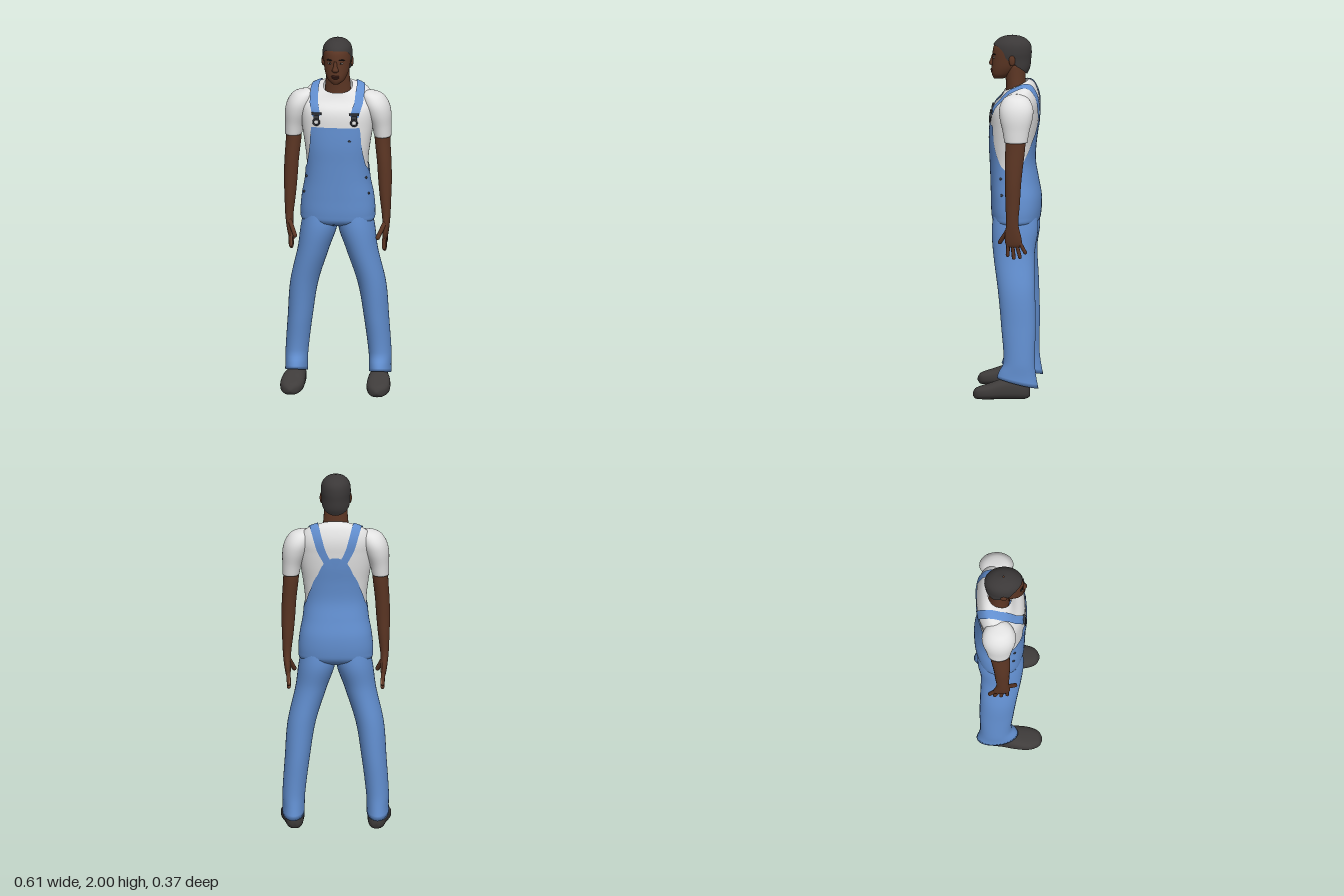
import * as THREE from 'three';

const mat = (name, color, side = THREE.FrontSide) => {
  const m = new THREE.MeshStandardMaterial({ color, side });
  m.name = name;
  return m;
};

// Smooth interpolation through rows of [key, ...values], keys ascending
function sample(rows, k) {
  let i = 0;
  while (i < rows.length - 2 && k > rows[i + 1][0]) i++;
  const a = rows[i], b = rows[i + 1], h = b[0] - a[0];
  const t = THREE.MathUtils.clamp((k - a[0]) / h, 0, 1);
  const p = rows[i - 1] ?? a, q = rows[i + 2] ?? b;
  return a.slice(1).map((_, j) => {
    const c = j + 1, ma = (b[c] - p[c]) / (b[0] - p[0]) * h, mb = (q[c] - a[c]) / (q[0] - a[0]) * h;
    const d = b[c] - a[c];
    return a[c] + t * (ma + t * (3 * d - 2 * ma - mb + t * (ma + mb - 2 * d)));
  });
}

// Straight interpolation, used for cut lines and paths
function linear(points, k) {
  let i = 0;
  while (i < points.length - 2 && k > points[i + 1][0]) i++;
  const [a, b] = [points[i], points[i + 1]];
  return THREE.MathUtils.mapLinear(THREE.MathUtils.clamp(k, a[0], b[0]), a[0], b[0], a[1], b[1]);
}

// Point on a lofted surface; rows are [y, centreX, centreZ, radiusX, radiusZ]
function surfacePoint(rows, y, angle, off = 0, p = 1, warp) {
  const [cx, cz, rx, rz] = sample(rows, y);
  const pw = (a) => Math.sign(a) * Math.abs(a) ** p;
  const v = new THREE.Vector3(cx + (Math.max(rx, 0) + off) * pw(Math.sin(angle)), y, cz + (Math.max(rz, 0) + off) * pw(Math.cos(angle)));
  if (warp) warp(v);
  return v;
}

// Closed loft; lo and hi may vary with the cosine of the angle (1 = front, -1 = back)
function loft(rows, { n = 24, m = 32, lo, hi, off = 0, p = 1, warp, caps = true } = {}) {
  const pos = [], idx = [];
  for (let i = 0; i <= m; i++) for (let j = 0; j < n; j++) {
    const a = j / n * Math.PI * 2, c = Math.cos(a);
    const y0 = lo ? lo(c) : rows[0][0], y1 = hi ? hi(c) : rows.at(-1)[0];
    pos.push(...surfacePoint(rows, y0 + (y1 - y0) * i / m, a, off, p, warp));
  }
  for (let i = 0; i < m; i++) for (let j = 0; j < n; j++) {
    const a = i * n + j, b = i * n + (j + 1) % n;
    idx.push(a, b, b + n, a, b + n, a + n);
  }
  if (caps) for (const [row, top] of [[0, false], [m, true]]) {
    const c = new THREE.Vector3(), id = pos.length / 3;
    for (let j = 0; j < n; j++) c.add(new THREE.Vector3().fromArray(pos, (row * n + j) * 3));
    pos.push(...c.divideScalar(n));
    for (let j = 0; j < n; j++) {
      const a = row * n + j, b = row * n + (j + 1) % n;
      idx.push(...(top ? [a, b, id] : [b, a, id]));
    }
  }
  const g = new THREE.BufferGeometry();
  g.setAttribute('position', new THREE.Float32BufferAttribute(pos, 3));
  g.setIndex(idx);
  g.computeVertexNormals();
  return g;
}

const TORSO = [
  [0.935, 0, -0.04, 0.1, 0.06], [0.96, 0, -0.04, 0.185, 0.115], [1.0, 0, -0.042, 0.2, 0.13], [1.1, 0, -0.042, 0.194, 0.134],
  [1.2, 0, -0.032, 0.176, 0.127], [1.3, 0, -0.022, 0.17, 0.121], [1.4, 0, -0.022, 0.181, 0.126], [1.5, 0, -0.03, 0.197, 0.131],
  [1.58, 0, -0.037, 0.205, 0.131], [1.64, 0, -0.05, 0.205, 0.118], [1.69, 0, -0.05, 0.172, 0.092], [1.71, 0, -0.046, 0.13, 0.077],
  [1.725, 0, -0.042, 0.08, 0.066]];
const SLEEVE = [
  [1.44, 0.248, -0.053, 0.047, 0.064], [1.5, 0.241, -0.053, 0.054, 0.074], [1.57, 0.226, -0.053, 0.069, 0.091],
  [1.62, 0.212, -0.053, 0.073, 0.094], [1.66, 0.197, -0.052, 0.066, 0.08], [1.685, 0.183, -0.05, 0.05, 0.055], [1.697, 0.17, -0.05, 0.015, 0.02]];
const ARM = [
  [0.855, 0.263, -0.042, 0.009, 0.036], [0.87, 0.263, -0.042, 0.014, 0.045], [0.91, 0.266, -0.038, 0.018, 0.046],
  [0.96, 0.269, -0.035, 0.021, 0.037], [1.0, 0.269, -0.034, 0.024, 0.034], [1.1, 0.265, -0.036, 0.032, 0.04],
  [1.2, 0.262, -0.038, 0.038, 0.044], [1.3, 0.257, -0.042, 0.04, 0.05], [1.42, 0.247, -0.05, 0.043, 0.055], [1.52, 0.243, -0.05, 0.045, 0.055]];
const LEG = [
  [0.09, 0.233, -0.062, 0.062, 0.115], [0.13, 0.232, -0.062, 0.061, 0.105], [0.2, 0.231, -0.07, 0.063, 0.087],
  [0.4, 0.212, -0.065, 0.069, 0.095], [0.6, 0.188, -0.053, 0.078, 0.103], [0.8, 0.134, -0.036, 0.088, 0.115],
  [0.93, 0.104, -0.04, 0.101, 0.128], [1.05, 0.095, -0.042, 0.085, 0.115]];
// Shoe rows run along z, with height negated
const SHOE = [
  [-0.13, 0.225, -0.045, 0.02, 0.03], [-0.11, 0.226, -0.05, 0.042, 0.048], [-0.03, 0.23, -0.056, 0.055, 0.056],
  [0.03, 0.236, -0.054, 0.063, 0.054], [0.1, 0.24, -0.042, 0.065, 0.042], [0.15, 0.241, -0.034, 0.052, 0.034],
  [0.175, 0.241, -0.03, 0.032, 0.026], [0.185, 0.241, -0.028, 0.01, 0.01]];
const NECK = [[1.64, 0, -0.045, 0.078, 0.06], [1.72, 0, -0.04, 0.071, 0.055], [1.78, 0, -0.036, 0.066, 0.056], [1.84, 0, -0.03, 0.064, 0.058]];
const HEAD = [
  [1.757, 0, 0.055, 0.02, 0.028], [1.775, 0, 0.042, 0.044, 0.05], [1.8, 0, 0.026, 0.058, 0.07], [1.83, 0, 0.01, 0.068, 0.084],
  [1.87, 0, -0.005, 0.074, 0.096], [1.91, 0, -0.016, 0.077, 0.105], [1.94, 0, -0.02, 0.075, 0.102], [1.97, 0, -0.02, 0.06, 0.078], [1.988, 0, -0.02, 0.03, 0.04]];
const HAIR = [
  [1.78, 0, -0.034, 0.07, 0.066], [1.82, 0, -0.03, 0.077, 0.088], [1.87, 0, -0.018, 0.08, 0.106], [1.91, 0, -0.018, 0.083, 0.109],
  [1.95, 0, -0.019, 0.078, 0.102], [1.975, 0, -0.02, 0.063, 0.081], [1.992, 0, -0.02, 0.038, 0.048], [2.0, 0, -0.02, 0.004, 0.004]];
const NOSE = [[1.828, 0, 0.088, 0.012, 0.008], [1.838, 0, 0.09, 0.02, 0.02], [1.855, 0, 0.087, 0.013, 0.018], [1.89, 0, 0.083, 0.008, 0.01]];

const BIB_EDGE = [[-1, 1.56], [-0.97, 1.53], [-0.9, 1.46], [-0.7, 1.37], [-0.4, 1.29], [0, 1.24], [0.4, 1.29], [0.6, 1.36], [0.72, 1.43], [0.78, 1.513], [1, 1.515]];
const HAIR_LINE = [[-1, 1.785], [-0.3, 1.83], [0.05, 1.865], [0.25, 1.87], [0.4, 1.915], [0.7, 1.942], [1, 1.948]];
const STRAP_X = [[30, 0.105], [60, 0.125], [90, 0.128], [110, 0.118], [140, 0.082], [160, 0.052], [182, 0.024]];

export function createModel() {
  const model = new THREE.Group();
  const skin = mat('skin', 0x5c3624), palmSkin = mat('palm skin', 0x8a5c44), lipSkin = mat('lips', 0x4a2820);
  const shirt = mat('white shirt', 0xe2e2e2, THREE.DoubleSide), denim = mat('blue denim', 0x628fd0, THREE.DoubleSide);
  const dark = mat('dark leather', 0x3f3c3b), hair = mat('hair', 0x3b3838, THREE.DoubleSide);
  const metal = mat('buckle metal', 0x3a3d44), white = mat('eye white', 0xb8b0a8), black = mat('pupil and brow', 0x1c1614);
  const add = (name, geo, material, x = 0, y = 0, z = 0) => {
    const m = new THREE.Mesh(geo, material);
    m.name = name;
    m.position.set(x, y, z);
    model.add(m);
    return m;
  };
  const blob = (name, material, x, y, z, rx, ry, rz) => add(name, new THREE.SphereGeometry(1, 16, 12).scale(rx, ry, rz), material, x, y, z);
  const rod = (name, material, a, b, r) => {
    const d = b.clone().sub(a), m = add(name, new THREE.CapsuleGeometry(r, d.length(), 4, 8), material);
    m.position.copy(a).addScaledVector(d, 0.5);
    m.quaternion.setFromUnitVectors(new THREE.Vector3(0, 1, 0), d.normalize());
  };

  // Clothed torso; the collar tips down towards the front
  const tilt = (v) => { v.y -= 0.45 * (v.z + 0.045) * THREE.MathUtils.smoothstep(v.y, 1.6, 1.72); };
  const body = { n: 96, m: 48, p: 0.85, warp: tilt, caps: false };
  const torso = add('shirt', loft(TORSO, { ...body, lo: () => 1.15 }), shirt);
  add('overalls', loft(TORSO, { ...body, off: 0.006, hi: (c) => linear(BIB_EDGE, c) }), denim);
  add('crotch', loft(TORSO.slice(0, 3), { n: 48, m: 6, p: 0.85 }), denim);

  // Find the shirt surface by casting inward
  const ray = new THREE.Raycaster();
  torso.updateMatrixWorld();
  const hit = (x, deg, lift) => {
    const a = THREE.MathUtils.degToRad(deg), out = new THREE.Vector3(0, Math.sin(a), Math.cos(a));
    const pivot = new THREE.Vector3(x, 1.5, -0.04);
    ray.set(pivot.clone().addScaledVector(out, 0.6), out.clone().negate());
    return (ray.intersectObject(torso)[0]?.point ?? pivot).clone().addScaledVector(out, lift);
  };

  // Head
  add('neck', loft(NECK, { m: 12 }), skin);
  add('head', loft(HEAD, { n: 32 }), skin);
  add('nose', loft(NOSE, { n: 12, m: 10 }), skin);
  add('hair', loft(HAIR, { n: 64, m: 24, lo: (c) => linear(HAIR_LINE, c) }).toNonIndexed(), hair);
  model.children.at(-1).geometry = loft(HAIR, { n: 64, m: 24, lo: (c) => linear(HAIR_LINE, c), caps: false });
  blob('upper lip', lipSkin, 0, 1.806, 0.092, 0.025, 0.006, 0.009);
  blob('lower lip', lipSkin, 0, 1.796, 0.091, 0.022, 0.006, 0.009);

  for (const s of [1, -1]) {
    const mirror = (rows) => rows.map(([k, x, ...r]) => [k, x * s, ...r]);
    const at = (x, y, z) => new THREE.Vector3(x * s, y, z);

    // Face details
    blob('ear', skin, s * 0.08, 1.868, -0.022, 0.009, 0.03, 0.018);
    blob('eye', white, s * 0.03, 1.878, 0.08, 0.013, 0.005, 0.006);
    blob('pupil', black, s * 0.03, 1.878, 0.084, 0.005, 0.005, 0.003);
    blob('brow', black, s * 0.032, 1.896, 0.079, 0.02, 0.004, 0.006).rotation.y = s * 0.3;

    // Sleeve, arm and hand
    add('sleeve', loft(mirror(SLEEVE), { n: 32 }), shirt);
    add('arm', loft(mirror(ARM), { m: 40 }), skin);
    blob('palm', palmSkin, s * 0.255, 0.908, -0.04, 0.008, 0.045, 0.036);
    for (const [z, tipY, tipZ] of [[-0.012, 0.81, -0.008], [-0.033, 0.795, -0.042], [-0.054, 0.8, -0.076], [-0.073, 0.825, -0.105]]) {
      rod('finger', skin, at(0.263, 0.885, z), at(0.259, tipY, tipZ), 0.0105);
      rod('finger pad', palmSkin, at(0.259, 0.88, z), at(0.256, tipY + 0.004, tipZ), 0.0085);
    }
    rod('thumb', skin, at(0.263, 0.95, -0.008), at(0.23, 0.878, 0.036), 0.0125);

    // Trouser leg with a hem that dips at the back, and shoe
    const hem = (v) => { v.y += 0.25 * (v.z + 0.06) * Math.max(0, 1 - (v.y - 0.09) / 0.15); };
    add('trouserLeg', loft(mirror(LEG), { n: 32, m: 48, warp: hem }), denim);
    add('shoe', loft(mirror(SHOE), { n: 28, m: 28, p: 0.75 }).rotateX(Math.PI / 2), dark);

    // Strap laid over the shoulder
    const pos = [], idx = [], steps = 48;
    for (let i = 0; i <= steps; i++) {
      const deg = 30 + 152 * i / steps, x = linear(STRAP_X, deg);
      for (let k = -2; k <= 2; k++) pos.push(...hit(s * x + k * 0.0115, deg, 0.008));
    }
    for (let i = 0; i < steps; i++) for (let k = 0; k < 4; k++) {
      const a = i * 5 + k;
      idx.push(a, a + 1, a + 6, a, a + 6, a + 5);
    }
    const strap = new THREE.BufferGeometry();
    strap.setAttribute('position', new THREE.Float32BufferAttribute(pos, 3));
    strap.setIndex(idx);
    strap.computeVertexNormals();
    add('strap', strap, denim);

    // Buckle, bib button and hip buttons
    const b = hit(s * 0.105, 27, 0.012);
    add('buckle bar', new THREE.BoxGeometry(0.055, 0.012, 0.012), metal, b.x, b.y + 0.022, b.z - 0.004);
    add('buckle plate', new THREE.BoxGeometry(0.03, 0.03, 0.01), metal, b.x, b.y, b.z);
    add('buckle ring', new THREE.TorusGeometry(0.017, 0.005, 6, 16), metal, b.x, b.y - 0.024, b.z + 0.004);
    for (const y of [1.22, 1.13]) {
      const p = surfacePoint(TORSO, y, s * 1.12, 0.007, 0.85);
      blob('hip button', metal, p.x, p.y, p.z, 0.007, 0.007, 0.007);
    }
  }
  const p = surfacePoint(TORSO, 1.44, 0.36, 0.007, 0.85);
  blob('bib button', metal, p.x, p.y, p.z, 0.008, 0.006, 0.004);
  return model;
}
